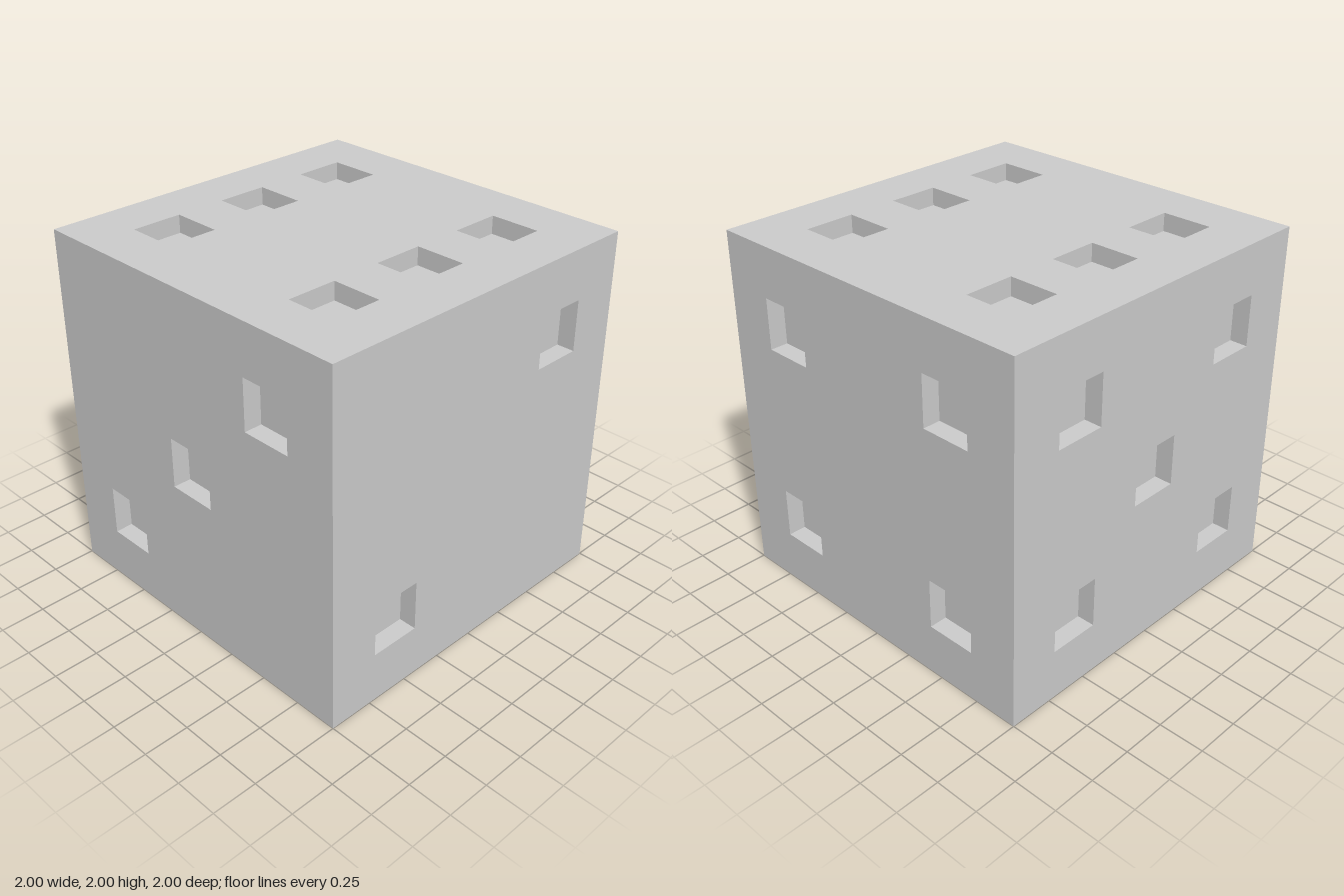
import * as THREE from 'three';
import { mergeGeometries } from 'three/addons/utils/BufferGeometryUtils.js';

const HALF = 1;         // half the cube's edge
const PIP = 2 / 7;      // pip side
const STEP = 4 / 7;     // pip spacing from the face centre
const DEPTH = 0.1;      // pip depth

// Square outline around a centre
function square(path, x, y, h) {
  path.moveTo(x - h, y - h);
  path.lineTo(x + h, y - h);
  path.lineTo(x + h, y + h);
  path.lineTo(x - h, y + h);
  path.closePath();
  return path;
}

// Recessed pip: a floor and four inward-facing walls
function pipGeometry() {
  const parts = [new THREE.PlaneGeometry(PIP, PIP).translate(0, 0, -DEPTH)];
  for (let k = 0; k < 4; k++) {
    parts.push(new THREE.PlaneGeometry(DEPTH, PIP)
      .rotateY(-Math.PI / 2)
      .translate(PIP / 2, 0, -DEPTH / 2)
      .rotateZ(k * Math.PI / 2));
  }
  return mergeGeometries(parts);
}

export function createModel() {
  const die = new THREE.Group();
  die.name = 'die';
  const material = new THREE.MeshStandardMaterial({ color: 0xcccccc });
  const pip = pipGeometry();

  // Pip layouts in steps from each face's centre
  const two = [[1, 1], [-1, -1]];
  const four = [...two, [-1, 1], [1, -1]];
  const q = Math.PI / 2;
  const faces = [
    ['frontFace', 0, 0, two],
    ['backFace', 0, 2 * q, [...four, [0, 0]]],
    ['leftFace', 0, q, four],
    ['rightFace', 0, -q, [...two, [0, 0]]],
    ['topFace', -q, 0, [...four, [0, 1], [0, -1]]],
    ['bottomFace', q, 0, [[0, 0]]],
  ];

  for (const [name, rx, ry, pips] of faces) {
    const face = new THREE.Group();
    face.name = name;

    // Flat panel pierced by the pip openings
    const outline = square(new THREE.Shape(), 0, 0, HALF);
    for (const [i, j] of pips) {
      outline.holes.push(square(new THREE.Path(), i * STEP, j * STEP, PIP / 2));
      const mesh = new THREE.Mesh(pip, material);
      mesh.name = 'pip';
      mesh.position.set(i * STEP, j * STEP, HALF);
      face.add(mesh);
    }
    const panel = new THREE.Mesh(new THREE.ShapeGeometry(outline), material);
    panel.name = 'panel';
    panel.position.z = HALF;
    face.add(panel);

    face.rotation.set(rx, ry, 0);
    face.position.y = HALF;
    die.add(face);
  }
  return die;
}
